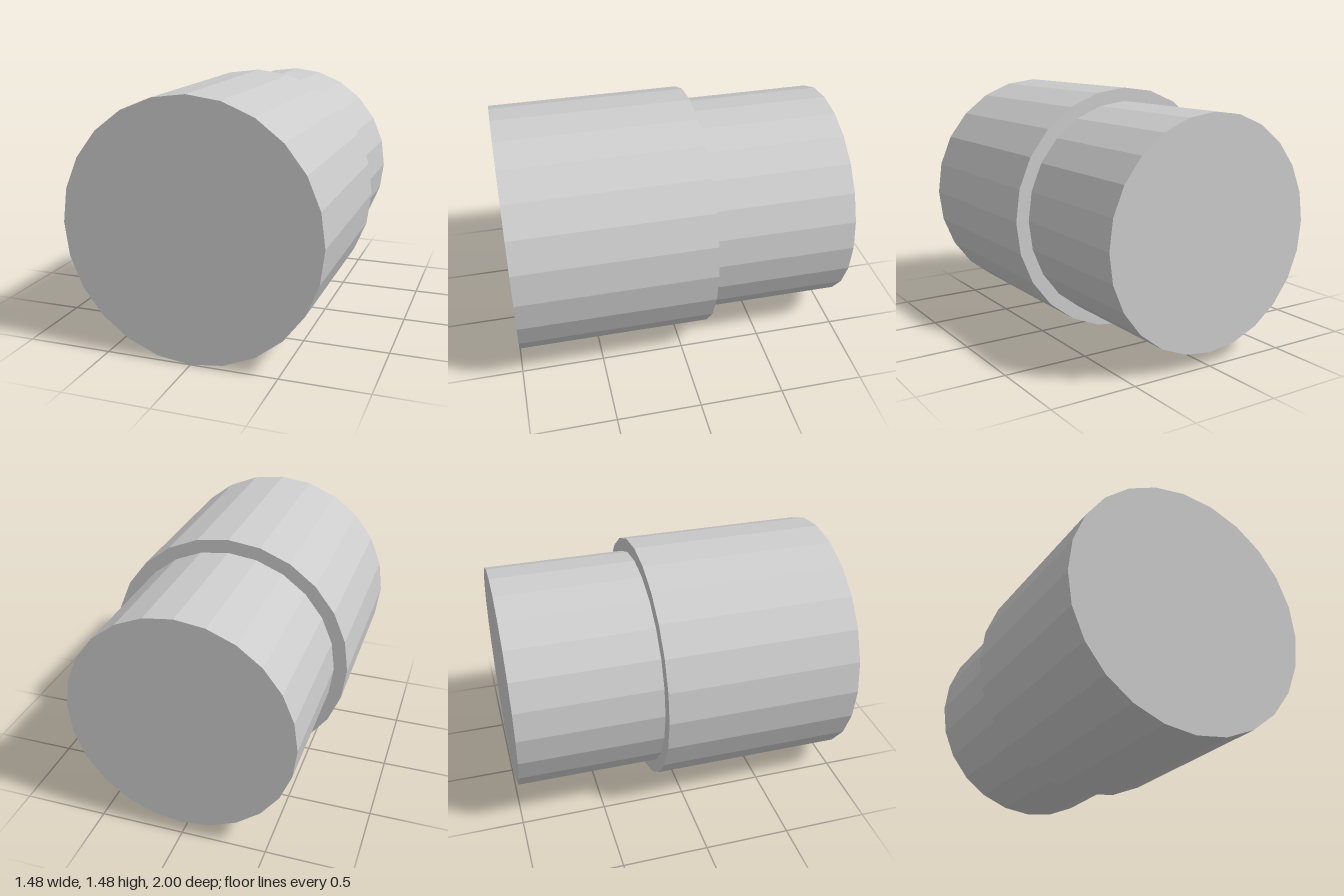
import * as THREE from 'three';

export function createModel() {
  const group = new THREE.Group();
  const material = new THREE.MeshStandardMaterial({ color: 0xcccccc, flatShading: true });
  const axisY = 0.74;

  // Closed 24-sided cylinder lying along z
  function addCylinder(name, radius, zBack, zFront) {
    const geometry = new THREE.CylinderGeometry(radius, radius, zFront - zBack, 24);
    geometry.rotateX(Math.PI / 2);
    const mesh = new THREE.Mesh(geometry, material);
    mesh.name = name;
    mesh.position.set(0, axisY, (zBack + zFront) / 2);
    group.add(mesh);
  }

  // Wide front body and the narrower section behind it
  addCylinder('frontBody', 0.74, -0.155, 1);
  addCylinder('rearSection', 0.66, -1, -0.155);

  return group;
}
